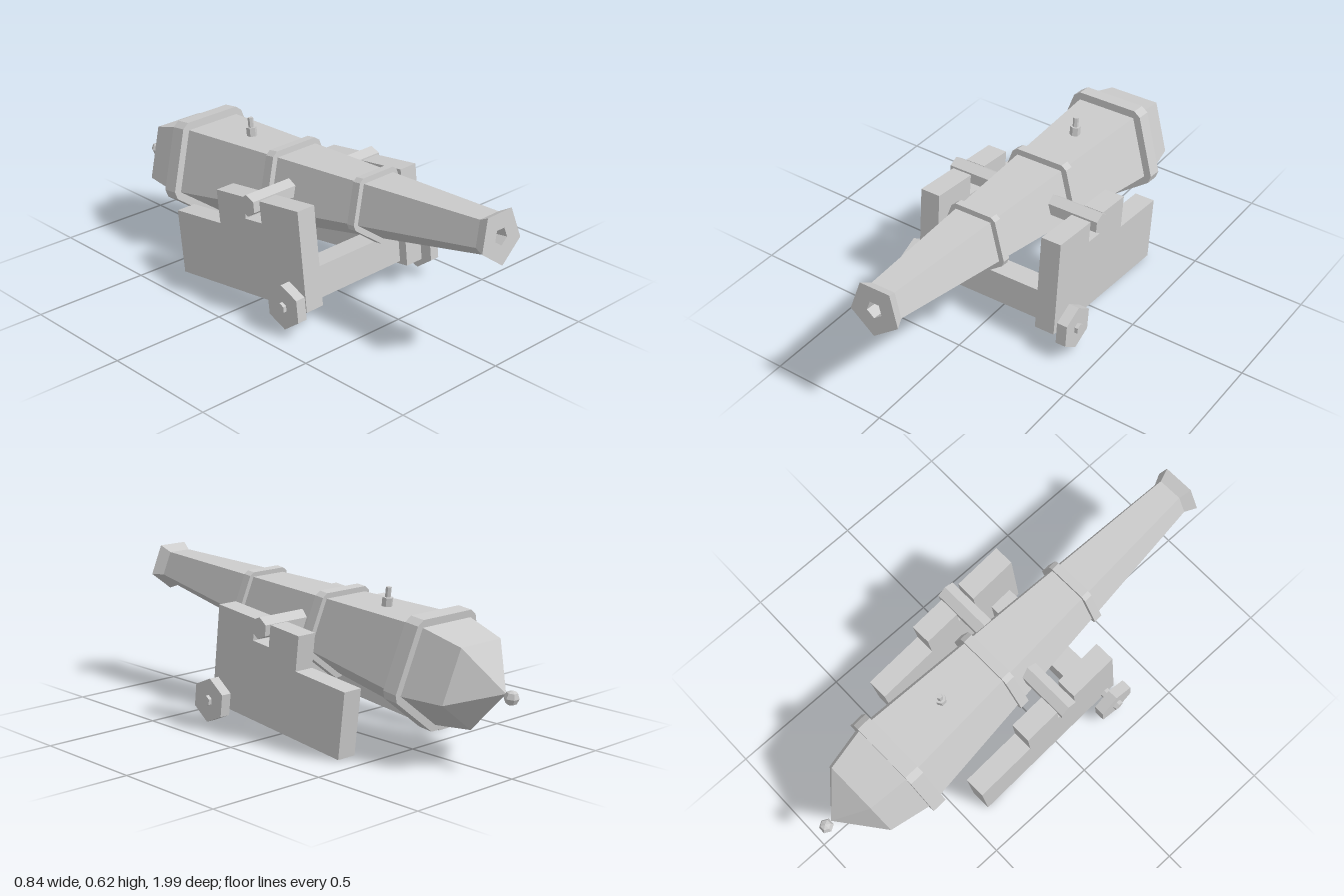
import * as THREE from 'three';

const material = new THREE.MeshStandardMaterial({ color: 0xcccccc, flatShading: true });

function add(parent, name, geometry, x = 0, y = 0, z = 0) {
  const mesh = new THREE.Mesh(geometry, material);
  mesh.name = name;
  mesh.position.set(x, y, z);
  parent.add(mesh);
  return mesh;
}

// Hexagonal bar lying along x, with a corner pointing up
function hexBar(radius, length) {
  return new THREE.CylinderGeometry(radius, radius, length, 6)
    .rotateY(Math.PI / 6)
    .rotateZ(Math.PI / 2);
}

// Five-sided band: each edge pushed outward, which leaves clipped corners
function bandGeometry(radius, offset, width) {
  const points = [];
  for (let i = 0; i < 5; i++) {
    const corner = -Math.PI / 2 + (i * Math.PI * 2) / 5;
    for (const side of [-1, 1]) {
      const normal = corner + (side * Math.PI) / 5;
      points.push(new THREE.Vector2(
        radius * Math.cos(corner) + offset * Math.cos(normal),
        radius * Math.sin(corner) + offset * Math.sin(normal)
      ));
    }
  }
  return new THREE.ExtrudeGeometry(new THREE.Shape(points), { depth: width, bevelEnabled: false })
    .translate(0, 0, -width / 2);
}

function createBarrel() {
  const barrel = new THREE.Group();
  barrel.name = 'barrel';

  // Tube from the pointed breech to the flared muzzle, then into the bore
  const profile = [
    [0, -0.946], [0.19, -0.803], [0.228, -0.63], [0.228, -0.6], [0.088, 0.945],
    [0.113, 0.995], [0.035, 0.995], [0.035, 0.85], [0, 0.85],
  ].map(([r, s]) => new THREE.Vector2(r, s));
  add(barrel, 'barrelTube', new THREE.LatheGeometry(profile, 5).rotateX(Math.PI / 2));

  // Reinforcing bands: position, tube radius, thickness, width
  for (const [s, r, offset, width] of [
    [0.38, 0.14, 0.02, 0.036],
    [-0.075, 0.18, 0.024, 0.042],
    [-0.598, 0.228, 0.03, 0.064],
  ]) add(barrel, 'barrelBand', bandGeometry(r, offset, width), 0, 0, s);

  // Knob on the breech and fuse on top
  add(barrel, 'breechKnob', new THREE.SphereGeometry(0.03, 6, 4), 0, -0.007, -0.973);
  add(barrel, 'fuseBase', new THREE.CylinderGeometry(0.022, 0.022, 0.05, 6), 0, 0.175, -0.32);
  add(barrel, 'fuse', new THREE.CylinderGeometry(0.012, 0.012, 0.09, 6), 0, 0.196, -0.32);
  barrel.position.y = 0.01;
  return barrel;
}

function createCarriage() {
  const carriage = new THREE.Group();
  carriage.name = 'carriage';

  // Stepped side plank with a notch for the trunnion, drawn as (z, y)
  const outline = [
    [0.284, -0.353], [0.284, 0.063], [0.07, 0.063], [0.07, -0.028], [-0.022, -0.028],
    [-0.022, 0.063], [-0.182, 0.063], [-0.182, -0.08], [-0.45, -0.08], [-0.45, -0.353],
  ].map(([z, y]) => new THREE.Vector2(z, y));
  const thickness = 0.088;
  const plank = new THREE.ExtrudeGeometry(new THREE.Shape(outline), { depth: thickness, bevelEnabled: false })
    .translate(0, 0, -thickness / 2)
    .rotateY(-Math.PI / 2);

  for (const [side, label] of [[1, 'left'], [-1, 'right']]) {
    add(carriage, label + 'Plank', plank, side * 0.286);
    add(carriage, label + 'Wheel', hexBar(0.093, 0.045), side * 0.38, -0.317, 0.23);
    add(carriage, label + 'WheelAxle', hexBar(0.023, 0.115), side * 0.36, -0.317, 0.23);
  }

  // Beam joining the planks, and the bar that carries the barrel
  add(carriage, 'crossBeam', new THREE.BoxGeometry(0.5, 0.132, 0.105), 0, -0.275, 0.193);
  add(carriage, 'trunnion', hexBar(0.045, 0.704), 0, 0.041, 0.02);
  return carriage;
}

export function createModel() {
  const cannon = new THREE.Group();
  cannon.name = 'cannon';
  cannon.add(createBarrel(), createCarriage());

  // The whole piece rests tipped back on the tail of its planks
  cannon.rotation.set(-0.114, 0.0154, 0.0085);
  cannon.position.set(-0.0095, 0.407, 0);

  const model = new THREE.Group();
  model.add(cannon);
  return model;
}
